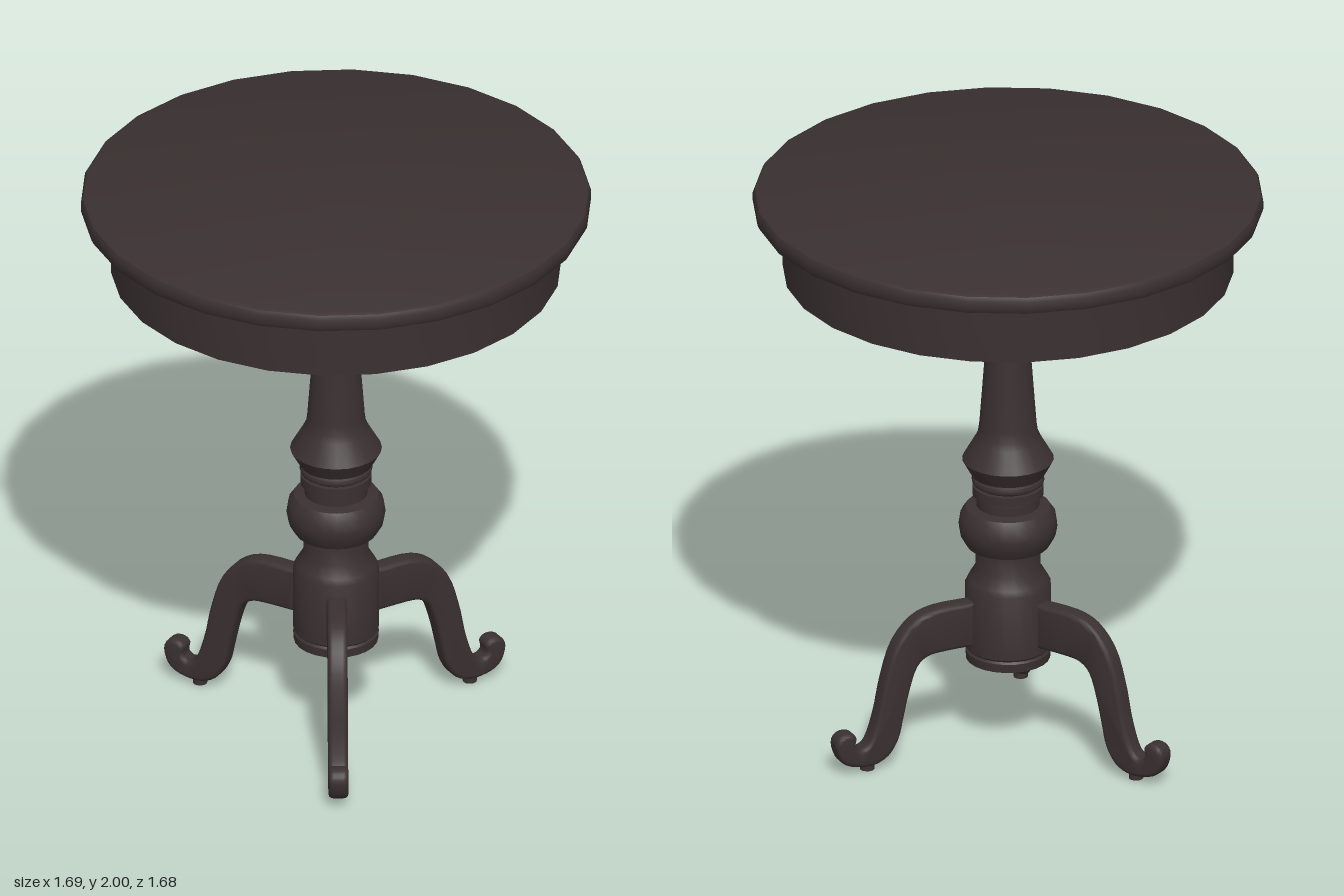
import * as THREE from 'three';
import { toCreasedNormals } from 'three/addons/utils/BufferGeometryUtils.js';

export function createModel() {
  const table = new THREE.Group();
  table.name = 'pedestalTable';

  const darkWood = new THREE.MeshStandardMaterial({ color: 0x3a3031 });
  darkWood.name = 'darkWood';

  function add(name, geometry, parent = table) {
    const mesh = new THREE.Mesh(geometry, darkWood);
    mesh.name = name;
    parent.add(mesh);
    return mesh;
  }

  // Turned part from a [radius, height] profile listed bottom to top, with a corner on +x
  function turned(name, profile, sides) {
    const points = profile.map(([r, y]) => new THREE.Vector2(r, y));
    const lathe = new THREE.LatheGeometry(points, sides, Math.PI / 2);
    return add(name, toCreasedNormals(lathe, 0.6));
  }

  // Table top with a rounded rim, and the apron under it
  turned('tableTop', [
    [0, 1.93], [0.825, 1.93], [0.838, 1.936], [0.845, 1.95],
    [0.845, 1.98], [0.838, 1.994], [0.825, 2], [0, 2],
  ], 26);
  turned('apron', [[0, 1.717], [0.746, 1.717], [0.746, 1.932], [0, 1.932]], 26);

  // Upper column: base rings, flare, tapered shaft, neck rings and cup
  turned('upperColumn', [
    [0, 0.9], [0.118, 0.9], [0.118, 0.935], [0.108, 0.938], [0.118, 0.945],
    [0.121, 0.955], [0.118, 0.965], [0.11, 0.97], [0.122, 0.975],
    [0.152, 1.03], [0.112, 1.1], [0.1, 1.125], [0.095, 1.16],
    [0.073, 1.455], [0.092, 1.46], [0.103, 1.48], [0.106, 1.5],
    [0.098, 1.505], [0.108, 1.512], [0.113, 1.525], [0.113, 1.54],
    [0.106, 1.553], [0.094, 1.557], [0.094, 1.62], [0.115, 1.64],
    [0.138, 1.67], [0.155, 1.705], [0.161, 1.72], [0, 1.72],
  ], 24);

  // Lower column: hub for the legs, shoulder, bulb and collar
  turned('lowerColumn', [
    [0, 0.31], [0.14, 0.31], [0.142, 0.34], [0.136, 0.347], [0.142, 0.354],
    [0.142, 0.58], [0.132, 0.6], [0.108, 0.64], [0.108, 0.712],
    [0.138, 0.72], [0.158, 0.755], [0.164, 0.79], [0.158, 0.83],
    [0.14, 0.856], [0.105, 0.862], [0.105, 0.892], [0, 0.892],
  ], 24);

  // Cabriole leg outline, ending in an upturned scroll
  const outline = [
    [0.27, 0.54], [0.355, 0.51], [0.423, 0.43], [0.462, 0.31],
    [0.485, 0.2], [0.515, 0.11], [0.545, 0.085], [0.568, 0.1],
    [0.564, 0.13], [0.585, 0.148], [0.62, 0.144], [0.639, 0.115],
    [0.628, 0.065], [0.6, 0.035], [0.55, 0.02], [0.495, 0.02],
    [0.445, 0.045], [0.41, 0.1], [0.393, 0.17], [0.372, 0.26],
    [0.345, 0.34], [0.31, 0.373], [0.26, 0.382], [0.135, 0.382],
  ];
  const legShape = new THREE.Shape();
  legShape.moveTo(0.135, 0.54);
  legShape.splineThru(outline.map(([x, y]) => new THREE.Vector2(x, y)));
  legShape.closePath();
  const extruded = new THREE.ExtrudeGeometry(legShape, {
    depth: 0.034, curveSegments: 3, bevelEnabled: true,
    bevelThickness: 0.016, bevelSize: 0.014, bevelOffset: -0.014, bevelSegments: 3,
  });
  extruded.translate(0, 0, -0.017);
  const legGeometry = toCreasedNormals(extruded, 0.8);
  const pegGeometry = new THREE.CylinderGeometry(0.024, 0.024, 0.03, 12);

  // Three legs, each with a small peg under the foot
  for (let i = 0; i < 3; i++) {
    const leg = new THREE.Group();
    leg.name = 'leg' + (i + 1);
    add('scrollLeg', legGeometry, leg);
    add('footPeg', pegGeometry, leg).position.set(0.515, 0.015, 0);
    leg.rotation.y = (i * Math.PI * 2) / 3;
    table.add(leg);
  }

  return table;
}
